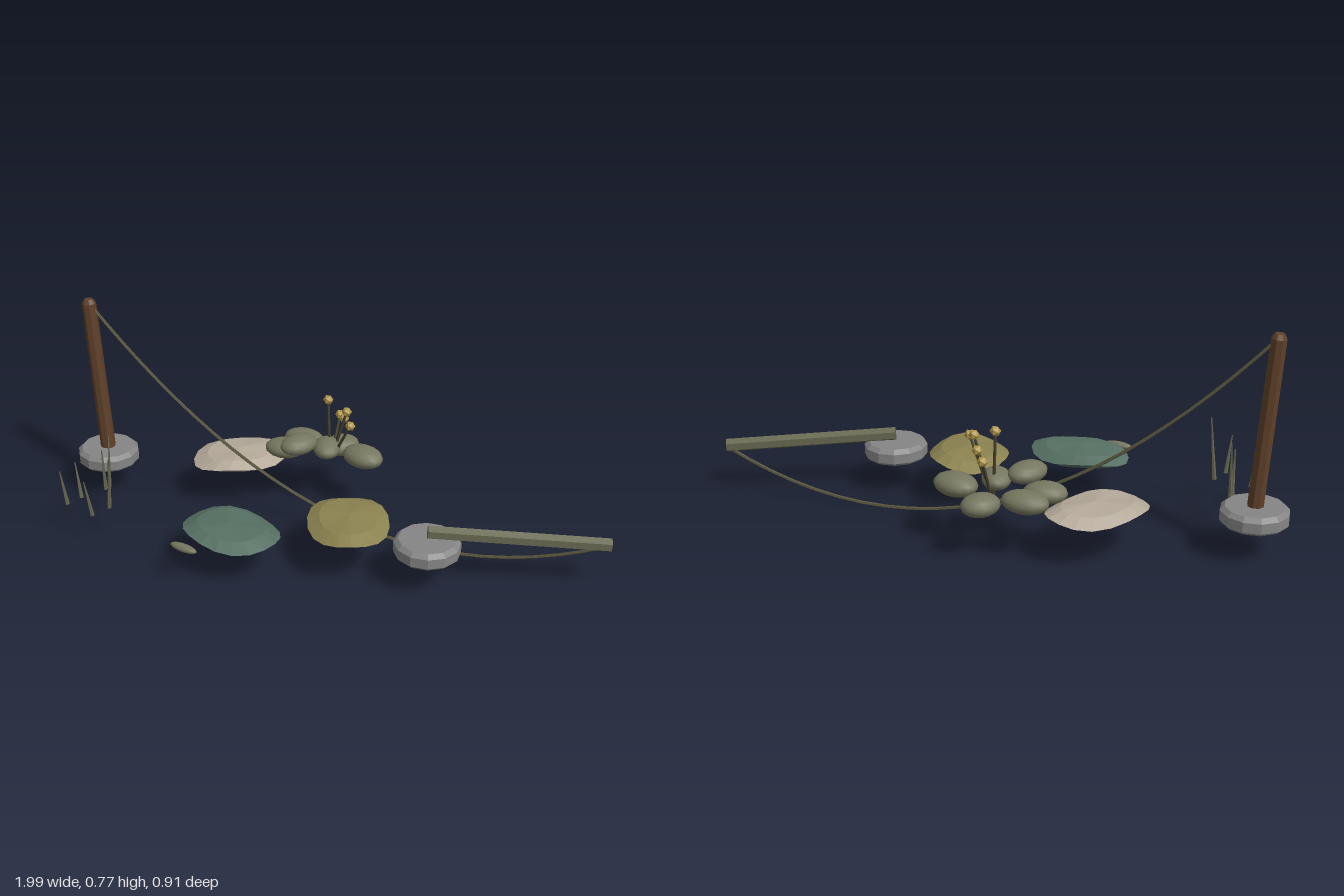
import * as THREE from 'three';

const mat = (name, color, flatShading = true) => {
  const m = new THREE.MeshStandardMaterial({ color, flatShading });
  m.name = name;
  return m;
};
const V = (p) => new THREE.Vector3(...p);

export function createModel() {
  const group = new THREE.Group();
  const stone = mat('grey stone', 0x858585);
  const wood = mat('brown wood', 0x5f4029);
  const mossyWood = mat('mossy wood', 0x666850);
  const rope = mat('rope', 0x59563f);
  const foliage = mat('grey green leaf', 0x76775f, false);
  const cream = mat('cream pad', 0xb3a898);
  const green = mat('green pad', 0x567063);
  const olive = mat('olive pad', 0x8b8250);
  const yellow = mat('yellow bud', 0xb0954a);
  const stalk = mat('dark stalk', 0x45422f);

  const add = (name, geometry, material, pos = [0, 0, 0]) => {
    const m = new THREE.Mesh(geometry, material);
    m.name = name;
    m.position.set(...pos);
    group.add(m);
    return m;
  };
  // Tapered bar between two points
  const bar = (name, a, b, r0, r1, sides, material) => {
    const d = V(b).sub(V(a));
    const m = add(name, new THREE.CylinderGeometry(r1, r0, d.length(), sides), material);
    m.position.copy(V(a)).addScaledVector(d, 0.5);
    m.quaternion.setFromUnitVectors(new THREE.Vector3(0, 1, 0), d.normalize());
    return m;
  };
  const lathe = (pts, sides) =>
    new THREE.LatheGeometry(pts.map((p) => new THREE.Vector2(...p)), sides);

  // Footing stones with bevelled edges
  const footing = lathe([[0, 0], [0.105, 0], [0.115, 0.01], [0.115, 0.045], [0.1, 0.06], [0, 0.06]], 12);
  add('leftFooting', footing, stone, [0.455, 0.122, -0.015]);
  add('rightFooting', footing, stone, [-0.885, 0.122, 0.07]);

  // Leaning post with a worn top
  const post = add('standingPost',
    lathe([[0, 0], [0.028, 0], [0.026, 0.615], [0.016, 0.631], [0, 0.631]], 8), wood, [-0.883, 0.14, 0.07]);
  post.rotation.z = 0.065;

  // Fallen beam
  bar('fallenBeam', [0.455, 0.207, -0.015], [0.98, 0.17, -0.335], 0.025, 0.025, 6, mossyWood);

  // Sagging rope
  const sag = new THREE.QuadraticBezierCurve3(
    V([-0.918, 0.75, 0.07]), V([0.03, -0.332, -0.132]), V([0.98, 0.165, -0.335]));
  add('rope', new THREE.TubeGeometry(sag, 24, 0.006, 5), rope);

  // Flat pads with a wavy rim
  const padGeometry = new THREE.SphereGeometry(1, 18, 4);
  const p = padGeometry.attributes.position;
  for (let i = 0; i < p.count; i++) {
    const x = p.getX(i), z = p.getZ(i);
    p.setY(i, p.getY(i) + 0.28 * (x * x + z * z) * Math.cos(3 * Math.atan2(z, x)));
  }
  padGeometry.computeVertexNormals();
  [
    ['creamPad', cream, [-0.437, 0.165, -0.175], 0.185, 0.135, 1.0],
    ['greenPad', green, [-0.155, 0.153, 0.27], 0.185, 0.137, 0],
    ['olivePad', olive, [0.168, 0.172, 0.028], 0.18, 0.143, -0.95],
  ].forEach(([name, m, pos, a, b, turn]) => {
    const pad = add(name, padGeometry, m, pos);
    pad.scale.set(a, 0.033, b);
    pad.rotation.y = turn;
  });

  // Plump leaves of the plant, and one dropped leaf: centre, half sizes, turn
  const leafGeometry = new THREE.SphereGeometry(1, 14, 10);
  [
    [[-0.255, 0.215, -0.335], [0.082, 0.038, 0.055], 0.1],
    [[-0.125, 0.2, -0.395], [0.068, 0.038, 0.057], 1.0],
    [[0.008, 0.22, -0.328], [0.082, 0.04, 0.06], -0.1],
    [[-0.277, 0.215, -0.235], [0.075, 0.036, 0.055], 0.3],
    [[-0.198, 0.263, -0.212], [0.076, 0.036, 0.055], 1.25],
    [[-0.115, 0.246, -0.272], [0.07, 0.034, 0.05], -1.0],
    [[-0.235, 0.14, 0.433], [0.055, 0.013, 0.018], 0],
  ].forEach(([pos, size, turn], i) => {
    const leaf = add(i < 6 ? 'plantLeaf' : 'droppedLeaf', leafGeometry, foliage, pos);
    leaf.scale.set(...size);
    leaf.rotation.y = turn;
  });

  // Bud stalks
  const bud = new THREE.IcosahedronGeometry(0.019, 0);
  [
    [-0.13, 0.425, -0.305], [-0.05, 0.397, -0.305], [-0.005, 0.372, -0.257],
    [-0.075, 0.355, -0.327], [-0.12, 0.34, -0.372],
  ].forEach((top) => {
    const base = [-0.12 + (top[0] + 0.12) * 0.15, 0.2, -0.305 + (top[2] + 0.305) * 0.2];
    bar('budStalk', base, top, 0.006, 0.005, 5, stalk);
    add('bud', bud, yellow, top);
  });

  // Reed spikes
  [
    [[-0.745, 0.12, 0.23], [-0.746, 0.32, 0.213]],
    [[-0.745, 0.12, 0.25], [-0.744, 0.285, 0.257]],
    [[-0.778, 0.12, 0.345], [-0.795, 0.26, 0.345]],
    [[-0.645, 0.12, 0.345], [-0.622, 0.35, 0.345]],
    [[-0.788, 0.12, 0.408], [-0.8, 0.255, 0.42]],
    [[-0.66, 0.12, 0.418], [-0.67, 0.26, 0.437]],
  ].forEach(([a, b]) => bar('reed', a, b, 0.008, 0.002, 5, mossyWood));

  return group;
}
